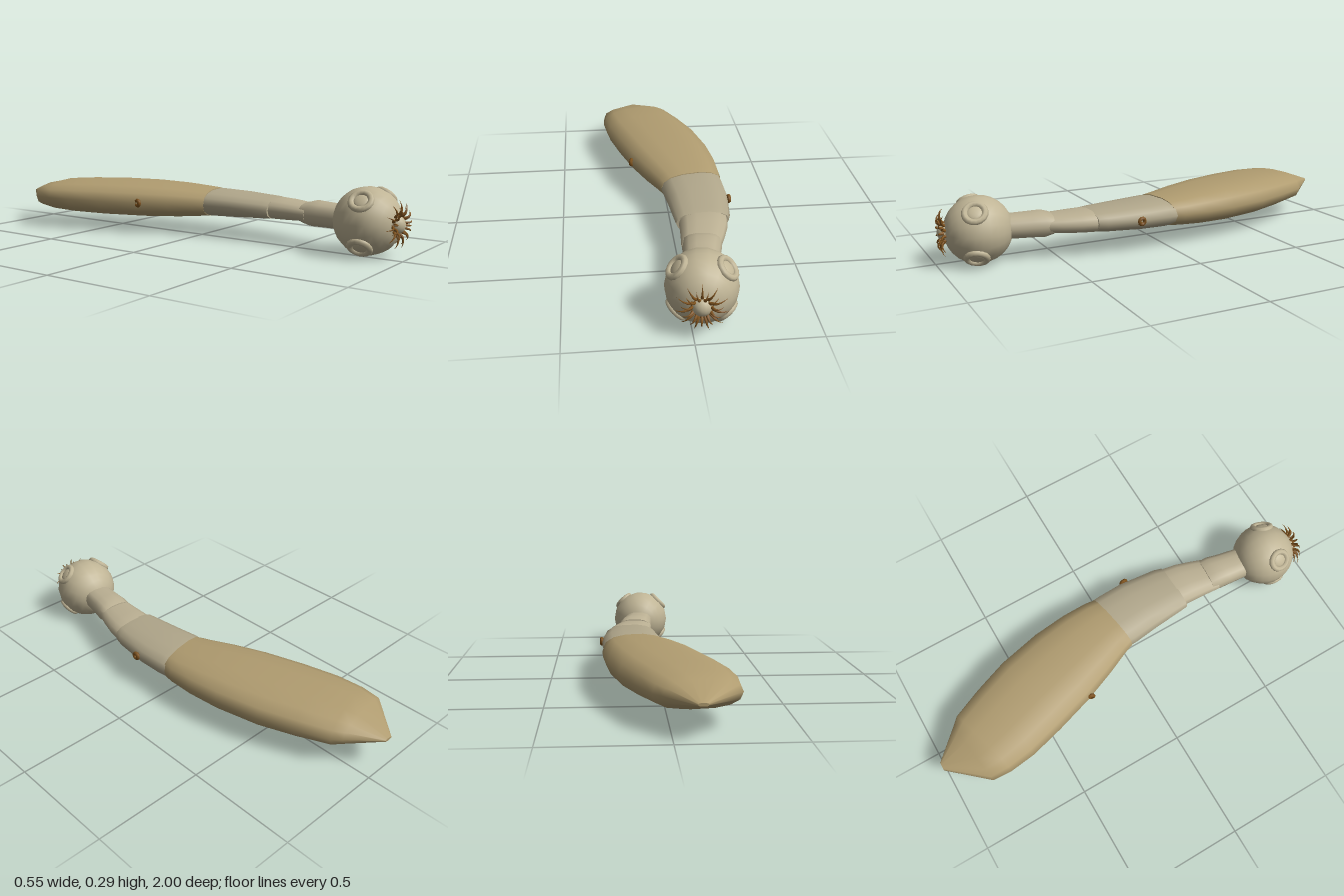
import * as THREE from 'three';

const mat = (name, color, side = THREE.FrontSide) => {
  const m = new THREE.MeshStandardMaterial({ color, side });
  m.name = name;
  return m;
};
const Y = 0.152;      // height of the body axis
const SIDES = 14;

// Smooth capped loft; each section is [leftX, leftZ, rightX, rightZ, halfHeight], from head to tail
function loft(sections) {
  const pos = [], idx = [];
  const ring = ([x0, z0, x1, z1, h]) => {
    const start = pos.length / 3;
    for (let j = 0; j < SIDES; j++) {
      const t = (j / SIDES) * Math.PI * 2;
      const c = Math.sign(Math.cos(t)) * Math.abs(Math.cos(t)) ** 0.82;
      const s = Math.sign(Math.sin(t)) * Math.abs(Math.sin(t)) ** 0.82;
      pos.push((x0 + x1) / 2 + c * (x1 - x0) / 2, Y + h * s, (z0 + z1) / 2 + c * (z1 - z0) / 2);
    }
    return start;
  };
  const starts = sections.map(ring);
  for (let i = 0; i < starts.length - 1; i++)
    for (let j = 0; j < SIDES; j++) {
      const k = (j + 1) % SIDES, a = starts[i], b = starts[i + 1];
      idx.push(a + j, b + j, a + k, a + k, b + j, b + k);
    }
  // end caps with their own vertices keep the rims crisp
  [sections[0], sections[sections.length - 1]].forEach((sec, end) => {
    const r = ring(sec), c = pos.length / 3;
    pos.push((sec[0] + sec[2]) / 2, Y, (sec[1] + sec[3]) / 2);
    for (let j = 0; j < SIDES; j++) {
      const k = (j + 1) % SIDES;
      if (end === 0) idx.push(c, r + j, r + k);
      else idx.push(c, r + k, r + j);
    }
  });
  const g = new THREE.BufferGeometry();
  g.setAttribute('position', new THREE.Float32BufferAttribute(pos, 3));
  g.setIndex(idx);
  g.computeVertexNormals();
  return g;
}

// Curved thorn: a tube along a bend, tapered to a point
function thorn(length, radius) {
  const curve = new THREE.QuadraticBezierCurve3(
    new THREE.Vector3(0.036, 0, -0.004),
    new THREE.Vector3(0.036 + length * 0.35, 0, 0.034),
    new THREE.Vector3(0.036 + length, 0, 0.004));
  const steps = 5, radial = 6;
  const g = new THREE.TubeGeometry(curve, steps, radius, radial);
  const p = g.attributes.position, v = new THREE.Vector3();
  for (let i = 0; i <= steps; i++) {
    const centre = curve.getPointAt(i / steps), k = 1 - (i / steps) * 0.98;
    for (let j = 0; j <= radial; j++) {
      const n = i * (radial + 1) + j;
      v.fromBufferAttribute(p, n).sub(centre).multiplyScalar(k).add(centre);
      p.setXYZ(n, v.x, v.y, v.z);
    }
  }
  g.computeVertexNormals();
  return g;
}

export function createModel() {
  const root = new THREE.Group();
  const pale = mat('paleHead', 0xc0b596);
  const neckMat = mat('neckCream', 0xbbb093);
  const midMat = mat('greyBeige', 0xb1a78b);
  const tan = mat('tan', 0xb09c70);
  const brown = mat('hookBrown', 0x80541f);

  const add = (parent, name, geo, material) => {
    const m = new THREE.Mesh(geo, material);
    m.name = name;
    parent.add(m);
    return m;
  };

  // Body segments
  add(root, 'neck', loft([
    [-0.013, 0.74, 0.125, 0.75, 0.052],
    [-0.008, 0.68, 0.137, 0.70, 0.053],
    [-0.002, 0.60, 0.155, 0.61, 0.055],
    [0.002, 0.55, 0.168, 0.56, 0.057],
    [0.008, 0.51, 0.17, 0.52, 0.045],
  ]), neckMat);
  add(root, 'frontSegment', loft([
    [0.0, 0.54, 0.168, 0.55, 0.038],
    [0.004, 0.49, 0.19, 0.49, 0.041],
    [0.008, 0.42, 0.215, 0.41, 0.046],
    [0.01, 0.36, 0.225, 0.35, 0.048],
    [0.012, 0.32, 0.222, 0.32, 0.042],
  ]), neckMat);
  add(root, 'middleSegment', loft([
    [-0.002, 0.355, 0.232, 0.345, 0.046],
    [-0.006, 0.32, 0.243, 0.305, 0.05],
    [-0.02, 0.17, 0.26, 0.13, 0.059],
    [-0.035, 0.05, 0.256, 0.01, 0.063],
    [-0.035, 0.0, 0.25, -0.04, 0.058],
  ]), midMat);
  add(root, 'rearSegment', loft([
    [-0.036, 0.03, 0.25, -0.02, 0.064],
    [-0.055, -0.02, 0.257, -0.07, 0.069],
    [-0.105, -0.13, 0.255, -0.19, 0.079],
    [-0.165, -0.28, 0.238, -0.34, 0.086],
    [-0.222, -0.46, 0.192, -0.54, 0.087],
    [-0.265, -0.62, 0.132, -0.70, 0.082],
    [-0.28, -0.74, 0.07, -0.84, 0.073],
    [-0.276, -0.83, 0.035, -0.875, 0.058],
    [-0.125, -1.0, -0.085, -1.0, 0.007],
  ]), tan);

  // Side pores
  for (const [x, z, turn] of [[0.262, 0.155, 0.05], [-0.158, -0.265, -0.32]]) {
    const pore = add(root, 'sidePore', new THREE.TorusGeometry(0.013, 0.009, 6, 10), brown);
    pore.position.set(x, Y, z);
    pore.rotation.y = Math.PI / 2 + turn;
  }

  // Head, turned a little towards -x
  const head = new THREE.Group();
  head.name = 'head';
  head.position.set(0.047, 0.15, 0.822);
  head.rotation.y = -0.13;
  root.add(head);
  const skull = new THREE.SphereGeometry(0.146, 18, 14);
  skull.rotateX(Math.PI / 2);
  add(head, 'skull', skull, pale);

  // Four suckers, each a ring with a shallow cup
  for (const sx of [-1, 1]) for (const sy of [-1, 1]) {
    const sucker = new THREE.Group();
    sucker.name = 'sucker';
    const dir = new THREE.Vector3(sx, sy, 0.25).normalize();
    sucker.position.copy(dir).multiplyScalar(0.138);
    sucker.quaternion.setFromUnitVectors(new THREE.Vector3(0, 0, 1), dir);
    add(sucker, 'suckerRing', new THREE.TorusGeometry(0.042, 0.014, 8, 16), pale);
    const cup = add(sucker, 'suckerCup', new THREE.SphereGeometry(0.033, 16, 8), pale);
    cup.scale.z = 0.3;
    head.add(sucker);
  }

  // Snout knob and two alternating crowns of hooks
  const knob = add(head, 'snout', new THREE.SphereGeometry(0.042, 16, 12), pale);
  knob.position.z = 0.13;
  const count = 22;
  const geos = [thorn(0.068, 0.0075), thorn(0.045, 0.007)];
  for (let i = 0; i < count; i++) {
    const hook = add(head, 'hook', geos[i % 2], brown);
    hook.position.z = 0.14 + (i % 2) * 0.012;
    hook.rotation.z = (i / count) * Math.PI * 2 + Math.PI / 2;
  }
  return root;
}
